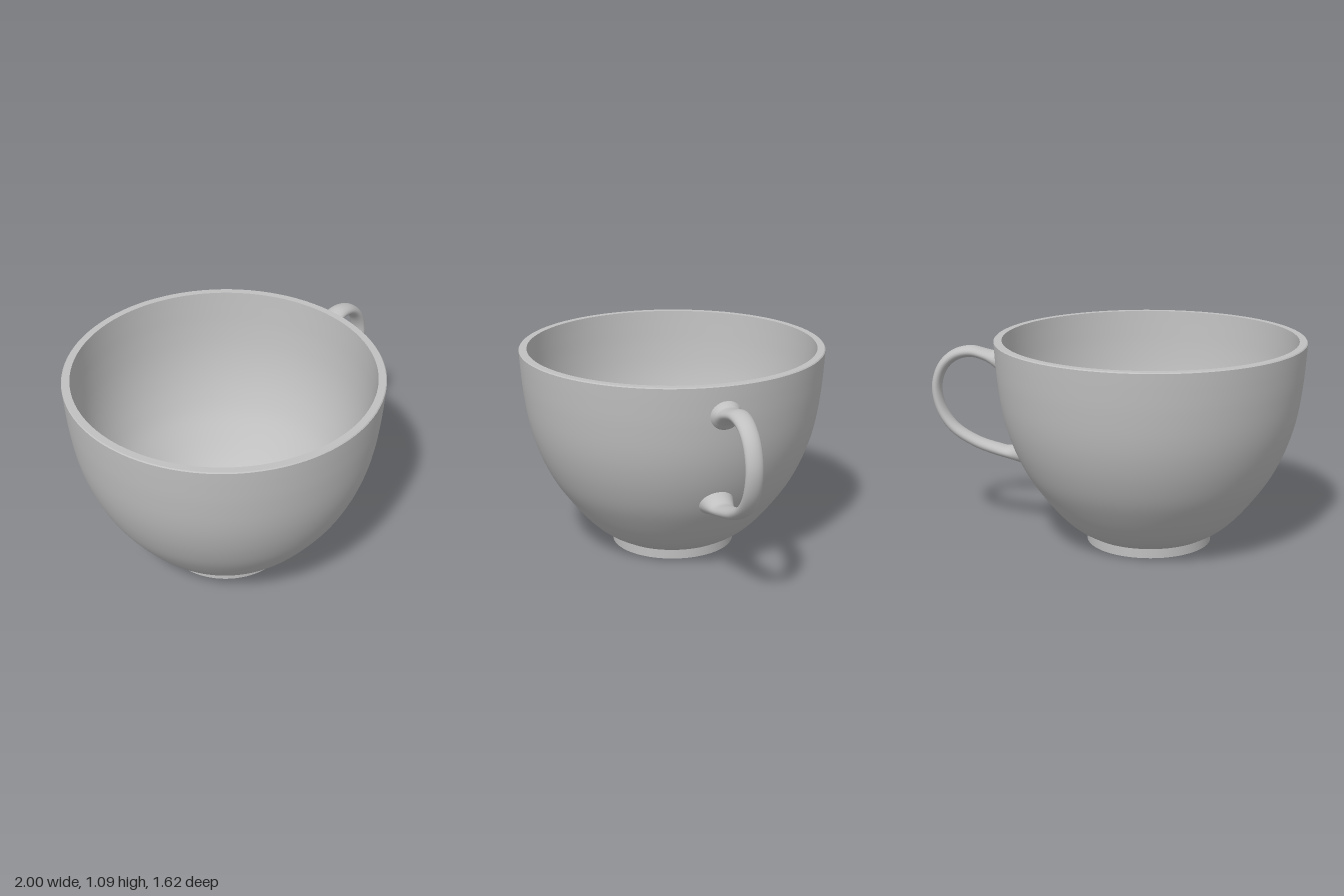
import * as THREE from 'three';

const CUP_X = -0.19; // axis of the bowl
const SEGMENTS = 96;

const v2 = (list) => list.map(([x, y]) => new THREE.Vector2(x, y));
const smooth = (list, n) => new THREE.SplineCurve(v2(list)).getPoints(n);

export function createModel() {
  const group = new THREE.Group();
  const glaze = new THREE.MeshStandardMaterial({ color: 0xc0c0c0 });
  glaze.name = 'grey glaze';

  const add = (name, geometry, x = 0) => {
    const mesh = new THREE.Mesh(geometry, glaze);
    mesh.name = name;
    mesh.position.x = x;
    group.add(mesh);
  };
  // Each lathe is one smooth surface; separate lathes keep the edges sharp
  const turn = (name, points) => add(name, new THREE.LatheGeometry(points, SEGMENTS), CUP_X);

  // Foot ring with a recessed underside
  turn('footRecess', v2([[0, 0.047], [0.242, 0.047]]));
  turn('footInnerWall', v2([[0.242, 0.047], [0.242, 0]]));
  turn('footBase', v2([[0.242, 0], [0.33, 0]]));
  turn('footOuterWall', v2([[0.33, 0], [0.33, 0.05]]));

  // Bowl: outside, rim, inside and floor
  turn('bowlOutside', smooth([
    [0.33, 0.05], [0.405, 0.095], [0.48, 0.163], [0.565, 0.265], [0.645, 0.38], [0.705, 0.5],
    [0.748, 0.62], [0.776, 0.74], [0.795, 0.88], [0.805, 1.0], [0.81, 1.085],
  ], 60));
  turn('rimOuterBevel', v2([[0.81, 1.085], [0.805, 1.09]]));
  turn('rim', v2([[0.805, 1.09], [0.768, 1.09]]));
  turn('bowlInside', smooth([
    [0.768, 1.09], [0.762, 1.0], [0.752, 0.88], [0.734, 0.75], [0.706, 0.63], [0.666, 0.515],
    [0.61, 0.4], [0.53, 0.287], [0.45, 0.195], [0.375, 0.133], [0.31, 0.1], [0.245, 0.082],
  ], 60));
  turn('bowlFloor', v2([[0.245, 0.082], [0, 0.082]]));

  add('handle', handleGeometry());
  return group;
}

// Handle: oval rings, each given by its outer edge, inner edge and half width
function handleGeometry() {
  const rings = [
    [0.598, 1.03, 0.585, 0.85, 0.09],
    [0.622, 1.005, 0.610, 0.867, 0.076],
    [0.648, 0.99, 0.635, 0.893, 0.067],
    [0.69, 0.995, 0.69, 0.93, 0.06],
    [0.78, 1.012, 0.775, 0.95, 0.053],
    [0.88, 0.985, 0.855, 0.93, 0.048],
    [0.96, 0.91, 0.915, 0.875, 0.046],
    [1.0, 0.785, 0.947, 0.785, 0.045],
    [0.975, 0.645, 0.928, 0.67, 0.045],
    [0.9, 0.535, 0.865, 0.58, 0.045],
    [0.77, 0.455, 0.75, 0.512, 0.046],
    [0.65, 0.416, 0.635, 0.478, 0.053],
    [0.56, 0.396, 0.578, 0.468, 0.064],
    [0.5, 0.381, 0.547, 0.483, 0.077],
    [0.44, 0.362, 0.51, 0.515, 0.092],
  ];
  const curve = (pick) => new THREE.CatmullRomCurve3(rings.map(pick));
  const outer = curve((r) => new THREE.Vector3(r[0], r[1], r[4]));
  const inner = curve((r) => new THREE.Vector3(r[2], r[3], r[4]));

  const steps = 84, sides = 28;
  const positions = [], indices = [];
  for (let i = 0; i <= steps; i++) {
    const a = outer.getPoint(i / steps), b = inner.getPoint(i / steps);
    for (let j = 0; j < sides; j++) {
      const t = (j / sides) * Math.PI * 2;
      const k = 0.5 + 0.5 * Math.cos(t);
      positions.push(b.x + (a.x - b.x) * k, b.y + (a.y - b.y) * k, a.z * Math.sin(t));
      if (i === steps) continue;
      const p = i * sides + j, q = i * sides + ((j + 1) % sides);
      indices.push(p, q, p + sides, q, q + sides, p + sides);
    }
  }
  const geometry = new THREE.BufferGeometry();
  geometry.setAttribute('position', new THREE.Float32BufferAttribute(positions, 3));
  geometry.setIndex(indices);
  geometry.computeVertexNormals();
  return geometry;
}
